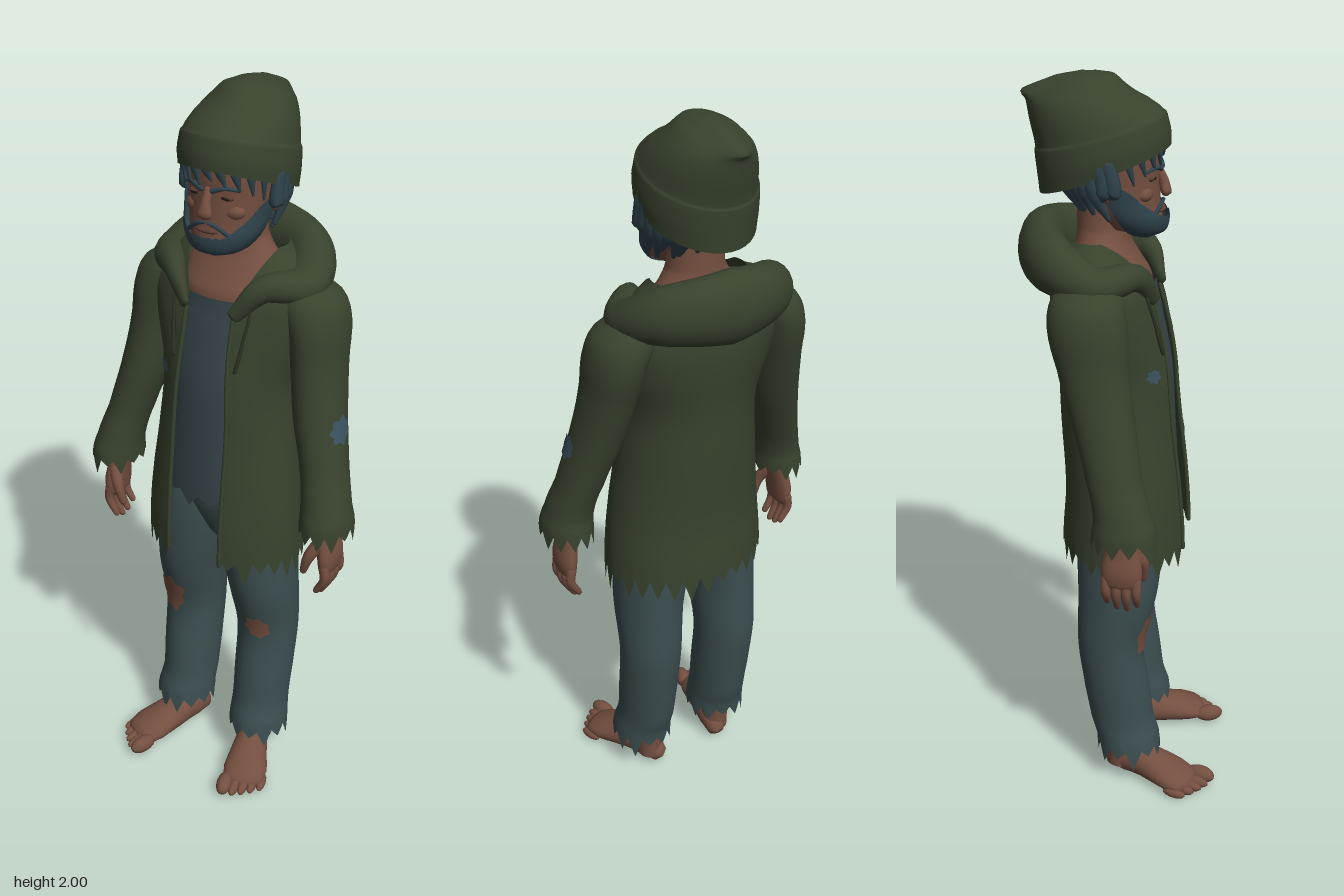
import * as THREE from 'three';

const mat = (name, color, double) => {
  const m = new THREE.MeshStandardMaterial({ color });
  m.name = name;
  if (double) m.side = THREE.DoubleSide;
  return m;
};
const M = {
  coat: mat('coat green', 0x38422d, true),
  trim: mat('dark green trim', 0x2b3323, true),
  pants: mat('trouser blue grey', 0x3c4e50, true),
  shirt: mat('shirt slate', 0x37464b, true),
  patch: mat('patch blue', 0x3a5261, true),
  skin: mat('skin', 0x744f40),
  shade: mat('lips and eyelids', 0x5c3e33),
  hair: mat('hair', 0x2f434c, true),
  eye: mat('eye dark', 0x1d1917),
};
const rnd = (n) => { const s = Math.sin(n * 127.1 + 11.7) * 43758.5453; return s - Math.floor(s); };
const V = (x, y, z) => new THREE.Vector3(x, y, z);

// Grid surface from f(u, v); wrap joins the two ends of u
function surf(f, nu, nv, wrap = true) {
  const pos = [], idx = [], w = wrap ? nu : nu + 1;
  for (let j = 0; j <= nv; j++) for (let i = 0; i < w; i++) pos.push(...f(i / nu, j / nv, j).toArray());
  for (let j = 0; j < nv; j++) for (let i = 0; i < nu; i++) {
    const a = j * w + i, b = j * w + (i + 1) % w;
    idx.push(a, b, a + w, b, b + w, a + w);
  }
  const g = new THREE.BufferGeometry();
  g.setAttribute('position', new THREE.Float32BufferAttribute(pos, 3));
  g.setIndex(idx);
  g.computeVertexNormals();
  return g;
}

// Smoothly interpolated ring; a key is [y, cx, cz, rx, rz, front lift, back point]
function ring(keys, y) {
  const n = keys.length - 1;
  let i = 0;
  while (i < n - 1 && y > keys[i + 1][0]) i++;
  const f = THREE.MathUtils.clamp((y - keys[i][0]) / (keys[i + 1][0] - keys[i][0]), 0, 1);
  const k = (j, c) => keys[Math.min(n, Math.max(0, j))][c] || 0;
  return [1, 2, 3, 4, 5, 6].map((c) => {
    const [p, q, r, s] = [k(i - 1, c), k(i, c), k(i + 1, c), k(i + 2, c)];
    return q + 0.5 * f * (r - p + f * (2 * p - 5 * q + 4 * r - s + f * (3 * (q - r) + s - p)));
  });
}
// Point on a lofted part at height y and angle a (0 faces the front)
function at(keys, y, a, side = 1, out = 0) {
  const [cx, cz, rx, rz, lift, point] = ring(keys, y);
  return V(side * cx + (Math.max(rx, 0.001) + out) * Math.sin(a), y + lift * Math.cos(a),
    cz + (Math.max(rz, 0.001) + out) * Math.cos(a) - point * Math.max(0, -Math.cos(a)) ** 6);
}
// Torn edge: pointed tatters hanging by up to amp
function tatter(u, n, amp, seed) {
  const c = Math.floor(u * n + 1e-6), f = u * n - c;
  return amp * (0.25 + 0.75 * rnd(c + seed)) * (1 - Math.abs(2 * f - 1));
}
// Loft upwards through the keys, with an optional front opening and torn hem
function loft(keys, { side = 1, nu = 32, sub = 4, torn, open } = {}) {
  const nv = (keys.length - 1) * sub;
  return surf((u, v, j) => {
    const i = Math.min(keys.length - 2, Math.floor(j / sub)), f = j / sub - i;
    const y = keys[i][0] + f * (keys[i + 1][0] - keys[i][0]);
    const a0 = open ? Math.asin(Math.min(1, open(y) / ring(keys, y)[2])) : 0;
    const p = at(keys, y, a0 + u * (2 * Math.PI - 2 * a0), side);
    if (torn && j === 0) p.y -= tatter(u, ...torn);
    return p;
  }, nu, nv, !open);
}
// Rounded tube along points; radii are [across, thick] pairs spread along it
function sweep(points, radii, nu = 10, nv = 12, up = V(0, 1, 0.01)) {
  const c = new THREE.CatmullRomCurve3(points.map((p) => V(...p)));
  const ends = [[1, 0], [0.6, 0.8], [0, 1]];
  return surf((u, _, j) => {
    let t = (j - 2) / nv, e = ends[2], s = 0;
    if (j < 2) { e = ends[j]; s = -1; } else if (j > nv + 2) { e = ends[nv + 4 - j]; s = 1; }
    t = THREE.MathUtils.clamp(t, 0, 1);
    const x = t * (radii.length - 1), i = Math.min(radii.length - 2, Math.floor(x));
    const [ra, rb] = [0, 1].map((k) => THREE.MathUtils.lerp(radii[i][k], radii[i + 1][k], x - i));
    const T = c.getTangent(t), N = V(0, 0, 0).crossVectors(up, T).normalize();
    const B = V(0, 0, 0).crossVectors(T, N), b = u * 2 * Math.PI;
    return c.getPoint(t).addScaledVector(T, s * e[0] * Math.min(ra, rb))
      .addScaledVector(N, ra * e[1] * Math.cos(b)).addScaledVector(B, rb * e[1] * Math.sin(b));
  }, nu, nv + 4);
}
// Thin ragged patch lying on a lofted part
const patch = (keys, y, a, dy, da, side, seed) => surf((u, v) => {
  const r = (1 - v) * (0.78 + tatter(u, 7, 0.35, seed)), b = u * 2 * Math.PI;
  return at(keys, y + dy * r * Math.sin(b), a + da * r * Math.cos(b), side, 0.005);
}, 28, 4);

const COAT = [[0.75, 0, 0, 0.232, 0.175], [0.9, 0, 0, 0.22, 0.165], [1.1, 0, -0.015, 0.197, 0.16],
  [1.25, 0, -0.025, 0.19, 0.155], [1.4, 0, -0.05, 0.235, 0.145], [1.48, 0, -0.06, 0.245, 0.13],
  [1.55, 0, -0.07, 0.185, 0.11], [1.6, 0, -0.075, 0.13, 0.09]];
const SLEEVE = [[0.91, 0.34, 0.04, 0.07, 0.085], [0.96, 0.333, 0.035, 0.065, 0.075], [1.05, 0.31, 0.01, 0.062, 0.072],
  [1.18, 0.275, -0.02, 0.068, 0.08], [1.32, 0.25, -0.05, 0.07, 0.09], [1.42, 0.235, -0.065, 0.078, 0.1],
  [1.49, 0.205, -0.07, 0.083, 0.088], [1.55, 0.16, -0.07, 0.03, 0.04]];
const LEG = [[0.13, 0.13, 0.025, 0.085, 0.09], [0.2, 0.125, 0.005, 0.08, 0.09], [0.3, 0.125, -0.01, 0.083, 0.092],
  [0.45, 0.125, -0.028, 0.087, 0.092], [0.6, 0.12, -0.01, 0.095, 0.108], [0.72, 0.108, -0.005, 0.105, 0.115],
  [0.85, 0.1, 0, 0.112, 0.108], [0.98, 0.09, 0, 0.09, 0.09]];
const PELVIS = [[0.7, 0, 0, 0.012, 0.02], [0.77, 0, 0, 0.05, 0.068], [0.86, 0, 0, 0.14, 0.1], [0.96, 0, 0, 0.17, 0.11]];
const SHIRT = [[0.92, 0, 0, 0.185, 0.14], [1.1, 0, -0.01, 0.17, 0.14], [1.25, 0, -0.02, 0.165, 0.14],
  [1.4, 0, -0.045, 0.19, 0.135], [1.49, 0, -0.05, 0.165, 0.125, -0.012]];
const NECK = [[1.36, 0, -0.045, 0.15, 0.11], [1.48, 0, -0.05, 0.155, 0.115], [1.54, 0, -0.06, 0.135, 0.09],
  [1.58, 0, -0.06, 0.1, 0.07], [1.62, 0, -0.06, 0.077, 0.066], [1.72, 0, -0.06, 0.075, 0.066]];
const HEAD = [[1.6, 0, 0.035, 0.03, 0.03], [1.62, 0, 0.02, 0.075, 0.07], [1.68, 0, -0.01, 0.1, 0.095],
  [1.75, 0, -0.03, 0.112, 0.112], [1.82, 0, -0.04, 0.118, 0.122], [1.9, 0, -0.05, 0.1, 0.11], [1.95, 0, -0.06, 0.01, 0.01]];
const BEARD = [[1.59, 0, 0.045, 0.015, 0.015], [1.61, 0, 0.03, 0.07, 0.068], [1.65, 0, 0.01, 0.1, 0.095],
  [1.7, 0, -0.015, 0.112, 0.105], [1.76, 0, -0.03, 0.12, 0.116]];
const HAT = [[1.762, 0, -0.055, 0.143, 0.165, 0.062], [1.805, 0, -0.058, 0.147, 0.167, 0.053],
  [1.85, 0, -0.065, 0.143, 0.165, 0.045], [1.86, 0, -0.068, 0.137, 0.16, 0.044], [1.905, 0, -0.092, 0.122, 0.145, 0.028, 0.004],
  [1.94, 0, -0.113, 0.101, 0.125, 0.015, 0.012], [1.97, 0, -0.125, 0.07, 0.095, 0.02, 0.04],
  [1.99, 0, -0.115, 0.032, 0.052, 0.006, 0.01], [1.998, 0, -0.11, 0.001, 0.001]];
const coatGap = (y) => (y < 1.48 ? 0.082 - 0.012 * THREE.MathUtils.smoothstep(y, 1.1, 1.4) : 0.07 + (y - 1.48) * 0.45);

function createModel() {
  const model = new THREE.Group();
  const add = (name, geo, m, parent = model) => {
    const mesh = new THREE.Mesh(geo, m);
    mesh.name = name;
    parent.add(mesh);
    return mesh;
  };
  const ball = (name, m, p, s, parent) => {
    const b = add(name, new THREE.SphereGeometry(1, 16, 12), m, parent);
    b.position.set(...p);
    b.scale.set(...s);
  };

  // Clothes on the torso
  add('coatBody', loft(COAT, { nu: 104, torn: [26, 0.075, 3], open: coatGap }), M.coat);
  add('shirt', loft(SHIRT, { nu: 72, torn: [18, 0.04, 40] }), M.shirt);
  add('pelvis', loft(PELVIS), M.pants);
  add('neckAndChest', loft(NECK), M.skin);
  add('coatPatch', patch(COAT, 1.26, -0.76, 0.02, 0.14, 1, 5), M.patch);
  add('sleevePatch', patch(SLEEVE, 1.17, 1.35, 0.035, 0.45, 1, 9), M.patch);

  // Hood lying folded round the neck
  const half = [[0.074, 1.45, 0.082], [0.132, 1.52, 0.04], [0.192, 1.515, -0.055], [0.15, 1.548, -0.16]];
  const hoodPath = [...half, [0, 1.558, -0.214], ...half.map(([x, y, z]) => [-x, y, z]).reverse()];
  const hoodR = [[0.01, 0.02], [0.03, 0.035], [0.06, 0.048], [0.062, 0.075], [0.064, 0.096]];
  add('hood', sweep(hoodPath, [...hoodR, ...hoodR.slice(0, 4).reverse()], 20, 48), M.coat);

  for (const s of [1, -1]) {
    const tag = s > 0 ? 'left' : 'right';
    // Coat front edge and drawstring
    const edge = [], cord = [];
    for (let y = 0.74; y < 1.5; y += 0.07) {
      const p = at(COAT, y, s * Math.asin(coatGap(y) / ring(COAT, y)[2]), 1, 0.002);
      edge.push(p.toArray());
    }
    for (let y = 1.31; y < 1.5; y += 0.045) cord.push(at(COAT, y, s * 0.46, 1, 0.006).toArray());
    add(tag + 'CoatEdge', sweep(edge, [[0.006, 0.006], [0.006, 0.006]], 8, 24, V(0, 0, 1)), M.coat);
    add(tag + 'Drawstring', sweep(cord, [[0.006, 0.006], [0.004, 0.004]], 6, 10, V(0, 0, 1)), M.trim);

    // Sleeve and hand
    add(tag + 'Sleeve', loft(SLEEVE, { side: s, nu: 48, torn: [12, 0.05, s * 7] }), M.coat);
    const hand = new THREE.Group();
    hand.name = tag + 'Hand';
    model.add(hand);
    add('palm', loft([[0.755, 0.35, 0.035, 0.004, 0.03], [0.77, 0.352, 0.035, 0.02, 0.047], [0.81, 0.352, 0.035, 0.026, 0.053],
      [0.86, 0.345, 0.035, 0.026, 0.045], [0.97, 0.333, 0.035, 0.03, 0.033]], { side: s, nu: 20 }), M.skin, hand);
    for (let i = 0; i < 4; i++) {
      const z = 0.073 - i * 0.026, d = [0.005, -0.008, -0.004, 0.012][i];
      add('finger', sweep([[s * 0.354, 0.79, z], [s * 0.358, 0.745 + d / 2, z], [s * 0.335, 0.7 + d, z]],
        [[0.014, 0.014], [0.013, 0.013], [0.009, 0.009]], 10, 8, V(0, 0, 1)), M.skin, hand);
    }
    add('thumb', sweep([[s * 0.34, 0.86, 0.06], [s * 0.315, 0.815, 0.085], [s * 0.3, 0.765, 0.085]],
      [[0.02, 0.02], [0.016, 0.016], [0.01, 0.01]], 10, 8, V(0, 0, 1)), M.skin, hand);

    // Trouser leg, torn knee and bare foot
    add(tag + 'TrouserLeg', loft(LEG, { side: s, nu: 48, torn: [12, 0.065, s * 5 + 20] }), M.pants);
    add(tag + 'KneeTear', s > 0 ? patch(LEG, 0.49, 0.27, 0.043, 0.42, 1, 31) : patch(LEG, 0.5, -0.2, 0.075, 0.52, -1, 14), M.skin);
    add(tag + 'Ankle', loft([[0.03, 0.118, 0, 0.036, 0.04], [0.09, 0.12, 0.005, 0.04, 0.045], [0.24, 0.125, 0, 0.05, 0.055]],
      { side: s, nu: 20 }), M.skin);
    const foot = new THREE.Group();
    foot.name = tag + 'Foot';
    foot.position.set(s * 0.115, 0, 0.01);
    foot.rotation.y = s * 0.3;
    model.add(foot);
    add('sole', sweep([[0, 0.036, -0.03], [0, 0.046, 0], [0, 0.054, 0.045], [s * 0.003, 0.046, 0.1], [s * 0.008, 0.036, 0.155], [s * 0.01, 0.028, 0.195]],
      [[0.03, 0.032], [0.04, 0.045], [0.045, 0.053], [0.054, 0.045], [0.064, 0.035], [0.058, 0.025]], 20, 16), M.skin, foot);
    for (let i = 0; i < 5; i++) {
      const r = i ? 0.0175 - i * 0.0008 : 0.025;
      ball('toe', M.skin, [s * (-0.036 + i * 0.024 + (i ? 0.004 : 0)), r + 0.002, 0.226 - i * 0.004 - i * i * 0.0016], [r * 0.9, r, 0.042 - i * 0.002], foot);
    }

    // Face details
    ball(tag + 'Ear', M.skin, [s * 0.118, 1.735, -0.035], [0.014, 0.034, 0.022]);
    ball(tag + 'Cheek', M.skin, [s * 0.05, 1.712, 0.046], [0.034, 0.024, 0.026]);
    ball(tag + 'Eyelid', M.shade, [s * 0.044, 1.75, 0.066], [0.02, 0.009, 0.011]);
    ball(tag + 'Eye', M.eye, [s * 0.044, 1.749, 0.073], [0.013, 0.004, 0.006]);
    add(tag + 'Eyebrow', sweep([[s * 0.015, 1.767, 0.088], [s * 0.045, 1.776, 0.08], [s * 0.075, 1.77, 0.06]],
      [[0.006, 0.007], [0.004, 0.004]], 8, 8), M.hair);
    add(tag + 'Moustache', sweep([[s * 0.006, 1.685, 0.092], [s * 0.03, 1.677, 0.088], [s * 0.062, 1.652, 0.074]],
      [[0.005, 0.004], [0.005, 0.006], [0.004, 0.006]], 8, 8), M.hair);
  }

  // Head, nose and mouth
  add('head', loft(HEAD), M.skin);
  add('nose', sweep([[0, 1.765, 0.08], [0, 1.735, 0.092], [0, 1.708, 0.099]], [[0.01, 0.01], [0.013, 0.013], [0.022, 0.014]], 12, 8, V(0, 0, 1)), M.skin);
  ball('lips', M.shade, [0, 1.664, 0.087], [0.032, 0.007, 0.012]);

  // Beard wrapping the jaw up to the ears
  add('beard', surf((u, v) => {
    const a = (u * 2 - 1) * 1.75;
    const top = 1.65 + 0.1 * THREE.MathUtils.smoothstep(Math.abs(a), 0.4, 1.6) + 0.006 * rnd(Math.round(u * 40));
    return at(BEARD, 1.59 + v * (top - 1.59), a, 1, 0.003);
  }, 40, 12, false), M.hair);

  // Hair under the hat: back shell, hanging locks and fringe
  add('hairBack', surf((u, v) => at(HEAD, 1.69 + v * 0.13, 1.75 + u * (2 * Math.PI - 3.5), 1, 0.02), 28, 5, false), M.hair);
  for (let i = 0; i < 19; i++) {
    const a = 1.5 + (i / 18) * (2 * Math.PI - 3), drop = (Math.abs(i - 9) > 7 ? 1.7 : 1.65) + 0.03 * rnd(i);
    add('hairLock', sweep([at(HEAD, 1.8, a, 1, 0.015).toArray(), at(HEAD, 1.73, a, 1, 0.024).toArray(),
      at(HEAD, drop, a + (rnd(i + 50) - 0.5) * 0.2, 1, 0.026).toArray()],
    [[0.02, 0.014], [0.022, 0.016], [0.006, 0.005]], 8, 8, V(Math.sin(a), 0, Math.cos(a))), M.hair);
  }
  for (let i = 0; i < 9; i++) {
    const a = -1.15 + i * 0.2875, out = Math.abs(a) * 0.045;
    add('fringeLock', sweep([at(HEAD, 1.84, a, 1, 0.006).toArray(), at(HEAD, 1.82, a, 1, 0.009).toArray(),
      at(HEAD, 1.803 - out - 0.015 * rnd(i + 80), a + 0.12, 1, 0.006).toArray()],
    [[0.016, 0.008], [0.015, 0.008], [0.003, 0.003]], 8, 6, V(Math.sin(a), 0, Math.cos(a))), M.hair);
  }

  // Knitted hat slumping to a point at the back
  add('hat', loft(HAT, { nu: 40 }), M.coat);
  return model;
}

export { createModel };
